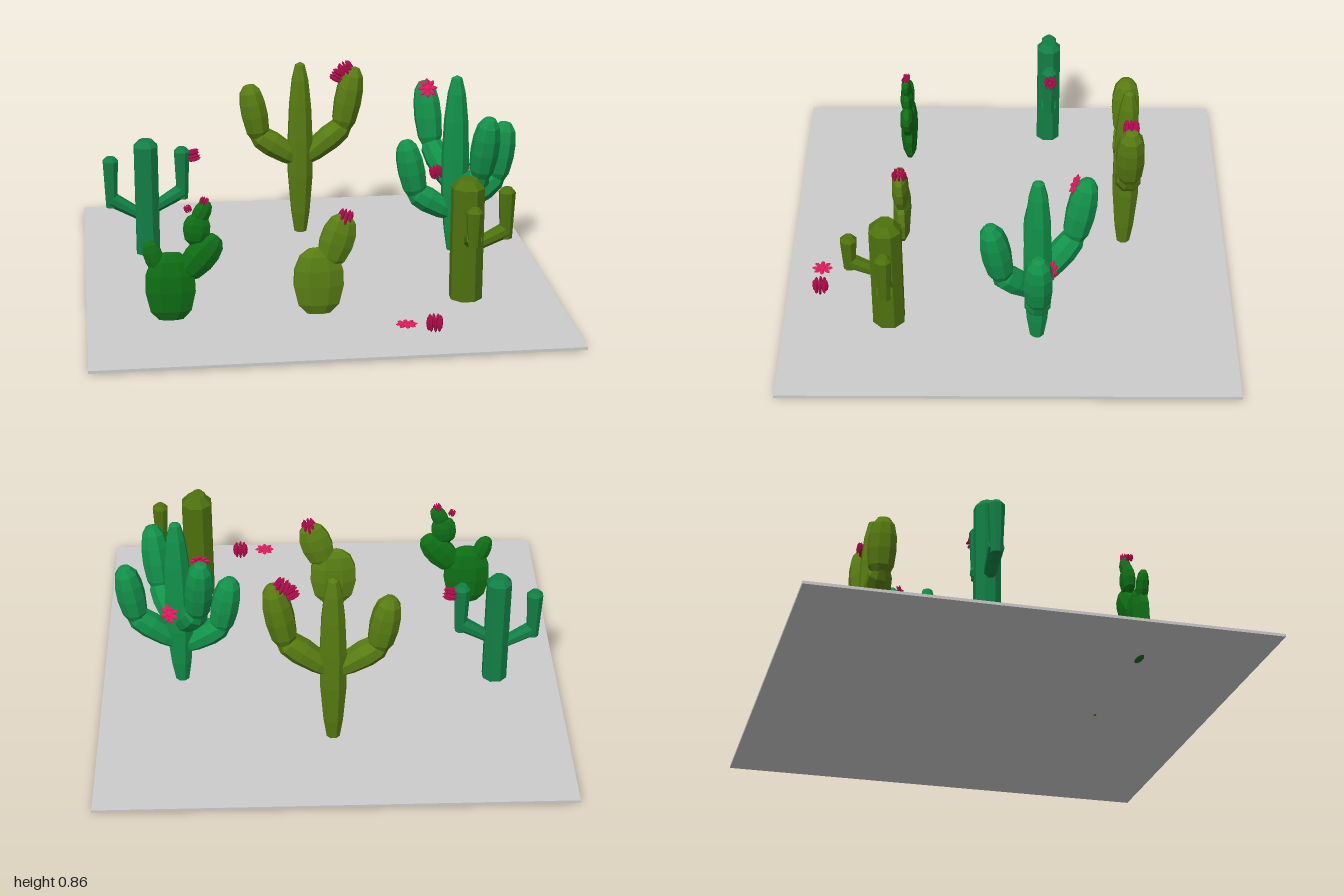
import * as THREE from 'three';

const mat = (color) => new THREE.MeshStandardMaterial({ color, flatShading: true, side: THREE.DoubleSide });
const UP = new THREE.Vector3(0, 1, 0);

// Profiles as [radius, height] fractions
const LOBE = [[0, 0], [0.55, 0.02], [0.88, 0.18], [1, 0.45], [0.96, 0.68], [0.78, 0.87], [0.42, 0.98], [0, 1]];
const LIMB = [[0, 0], [0.6, 0.02], [0.85, 0.25], [1, 0.6], [0.9, 0.85], [0.5, 1], [0, 1.02]];
const TRUNK = [[0, 0], [0.5, 0.01], [0.75, 0.13], [1, 0.35], [1, 0.55], [0.88, 0.75], [0.66, 0.9], [0.38, 0.985], [0, 1]];
const PAD = [[0, 0], [0.38, 0.01], [0.82, 0.18], [1, 0.45], [0.97, 0.68], [0.75, 0.88], [0.4, 0.98], [0, 1]];

export function createModel() {
  const model = new THREE.Group();

  const group = (name) => {
    const g = new THREE.Group();
    g.name = name;
    model.add(g);
    return g;
  };

  // Faceted body of revolution running from a to b; depth flattens it in z
  function body(parent, name, profile, a, b, radius, material, depth = 1) {
    const from = new THREE.Vector3(...a);
    const dir = new THREE.Vector3(...b).sub(from);
    const length = dir.length();
    const points = profile.map(([r, h]) => new THREE.Vector2(r * radius, h * length));
    const geo = new THREE.LatheGeometry(points, 8);
    geo.rotateY(Math.PI / 8);
    geo.scale(1, 1, depth);
    const mesh = new THREE.Mesh(geo, material);
    mesh.name = name;
    mesh.position.copy(from);
    mesh.quaternion.setFromUnitVectors(UP, dir.normalize());
    parent.add(mesh);
    return mesh;
  }

  const openPink = mat(0xe0185c);
  const budPink = mat(0xb00a4c);

  // Eight petals, either spread flat or closed into a barrel-shaped bud
  function flower(parent, name, pos, axis, open, size = 1) {
    const g = new THREE.Group();
    g.name = name;
    for (let i = 0; i < 8; i++) {
      const angle = (i * Math.PI) / 4;
      const geo = new THREE.SphereGeometry(1, 6, 4);
      if (open) geo.scale(0.019, 0.005, 0.01).translate(0.027, 0, 0);
      else geo.scale(0.012, 0.034, 0.008).translate(0.023, 0, 0);
      const petal = new THREE.Mesh(geo.rotateY(angle), open ? openPink : budPink);
      petal.name = 'petal';
      g.add(petal);
    }
    const heart = new THREE.Mesh(new THREE.SphereGeometry(1, 8, 4), open ? openPink : budPink);
    heart.name = 'flowerHeart';
    heart.scale.set(0.016, open ? 0.006 : 0.024, 0.016);
    g.add(heart);
    g.position.set(...pos);
    g.quaternion.setFromUnitVectors(UP, new THREE.Vector3(...axis).normalize());
    g.scale.setScalar(size);
    parent.add(g);
  }

  // Plump arm: a slanting limb, then a rising lobe
  function plumpArm(parent, root, elbow, tip, r, material) {
    const [e, t] = [new THREE.Vector3(...elbow), new THREE.Vector3(...tip)];
    const out = e.clone().sub(new THREE.Vector3(...root)).setLength(0.03).add(e);
    body(parent, 'armLimb', LIMB, root, out.toArray(), r * 0.92, material);
    const start = e.clone().addScaledVector(t.clone().sub(e).normalize(), -0.02);
    body(parent, 'armLobe', LOBE, start.toArray(), tip, r, material);
  }

  // Ground slab
  const ground = new THREE.Mesh(new THREE.BoxGeometry(2, 0.012, 1.92), new THREE.MeshStandardMaterial({ color: 0xcccccc }));
  ground.name = 'ground';
  ground.position.y = 0.011;
  model.add(ground);

  // Tall olive cactus at the back
  const olive = mat(0x587c12);
  const tall = group('tallOliveCactus');
  body(tall, 'trunk', TRUNK, [0, 0.015, -0.51], [0, 0.835, -0.51], 0.06, olive);
  plumpArm(tall, [-0.01, 0.37, -0.51], [-0.19, 0.49, -0.51], [-0.235, 0.735, -0.51], 0.064, olive);
  plumpArm(tall, [0.01, 0.37, -0.51], [0.195, 0.52, -0.51], [0.25, 0.805, -0.51], 0.064, olive);
  flower(tall, 'upperBud', [0.21, 0.795, -0.51], [-0.45, 1, 0], false);
  flower(tall, 'lowerBud', [0.17, 0.765, -0.51], [-1, 0.6, 0], false, 0.85);

  // Many-armed green cactus
  const green = mat(0x12924a);
  const many = group('manyArmedCactus');
  body(many, 'trunk', TRUNK, [0.65, 0.04, -0.12], [0.65, 0.86, -0.12], 0.062, green);
  [
    [[0.64, 0.22, -0.12], [0.475, 0.32, -0.12], [0.425, 0.57, -0.12]],
    [[0.66, 0.24, -0.12], [0.835, 0.38, -0.12], [0.875, 0.64, -0.12]],
    [[0.64, 0.34, -0.13], [0.565, 0.5, -0.27], [0.54, 0.785, -0.325]],
    [[0.66, 0.3, -0.11], [0.735, 0.44, 0.025], [0.762, 0.72, 0.075]],
  ].forEach(([root, elbow, tip]) => plumpArm(many, root, elbow, tip, 0.063, green));
  flower(many, 'topFlower', [0.545, 0.763, -0.268], [0, 0.47, 0.88], true);
  flower(many, 'sideFlower', [0.69, 0.43, -0.175], [0.5, 0.4, -0.75], true);
  flower(many, 'armBud', [0.565, 0.415, -0.125], [-0.3, 1, 0], false, 0.85);

  // Column cactus: octagonal trunk with chamfered cap and bent arms
  function columnCactus(name, x, z, r, material, arms) {
    const g = group(name);
    const column = (part, px, pz, y0, y1, r0, r1) => {
      const cap = r1 * 0.5;
      const points = [[0, y0], [r0, y0], [r1, y1 - cap], [r1 * 0.55, y1], [0, y1]];
      const geo = new THREE.LatheGeometry(points.map((p) => new THREE.Vector2(...p)), 8).rotateY(Math.PI / 8);
      const mesh = new THREE.Mesh(geo, material);
      mesh.name = part;
      mesh.position.set(px, 0, pz);
      g.add(mesh);
    };
    column('trunk', x, z, 0.072, 0.595, r, r);
    for (const { dx, dz, rootY, elbowY, topY } of arms) {
      const [ax, az] = [x + dx, z + dz];
      const tube = [[0, 0], [0.75, 0], [1, 1], [0, 1]];
      body(g, 'armElbow', tube, [x + dx * 0.2, rootY, z + dz * 0.2], [ax, elbowY, az], 0.034, material);
      column('armColumn', ax, az, elbowY - 0.035, topY, 0.026, 0.036);
    }
    return g;
  }
  columnCactus('oliveColumnCactus', 0.585, 0.505, 0.071, mat(0x4e720e), [
    { dx: 0.165, dz: 0, rootY: 0.3, elbowY: 0.365, topY: 0.55 },
    { dx: 0, dz: 0.152, rootY: 0.33, elbowY: 0.39, topY: 0.52 },
  ]);
  const column = columnCactus('greenColumnCactus', -0.718, -0.18, 0.056, mat(0x128046), [
    { dx: -0.156, dz: -0.003, rootY: 0.25, elbowY: 0.325, topY: 0.52 },
    { dx: 0.157, dz: 0, rootY: 0.28, elbowY: 0.355, topY: 0.555 },
  ]);
  flower(column, 'bud', [-0.51, 0.515, -0.185], [1, 0.25, 0], false, 0.85);

  // Green prickly pear made of flat pads
  const padGreen = mat(0x0f7016);
  const pear = group('greenPricklyPear');
  [
    [[-0.65, 0, 0.47], [-0.65, 0.315, 0.47], 0.112, 0.36],
    [[-0.6, 0.2, 0.47], [-0.45, 0.375, 0.47], 0.07, 0.5],
    [[-0.545, 0.34, 0.47], [-0.53, 0.475, 0.47], 0.06, 0.5],
    [[-0.545, 0.42, 0.47], [-0.49, 0.53, 0.47], 0.038, 0.6],
    [[-0.69, 0.22, 0.47], [-0.74, 0.365, 0.47], 0.042, 0.6],
  ].forEach(([a, b, r, d]) => body(pear, 'pad', PAD, a, b, r, padGreen, d));
  flower(pear, 'bud', [-0.505, 0.528, 0.47], [0.3, 1, 0], false, 0.55);
  flower(pear, 'bud', [-0.572, 0.5, 0.47], [-0.4, 1, 0], false, 0.45);

  // Olive prickly pear
  const padOlive = mat(0x5a8014);
  const pear2 = group('olivePricklyPear');
  body(pear2, 'pad', PAD, [-0.033, 0.004, 0.475], [-0.033, 0.31, 0.475], 0.113, padOlive, 0.36);
  body(pear2, 'pad', PAD, [0.005, 0.22, 0.475], [0.08, 0.45, 0.475], 0.076, padOlive, 0.5);
  flower(pear2, 'bud', [0.078, 0.437, 0.475], [0.25, 1, 0], false, 0.95);

  // Loose flowers in front
  const loose = group('looseFlowers');
  flower(loose, 'openFlower', [0.285, 0.09, 0.81], [0, 1, 0], true);
  flower(loose, 'closedBud', [0.4, 0.09, 0.81], [0, 1, 0], false);

  return model;
}
